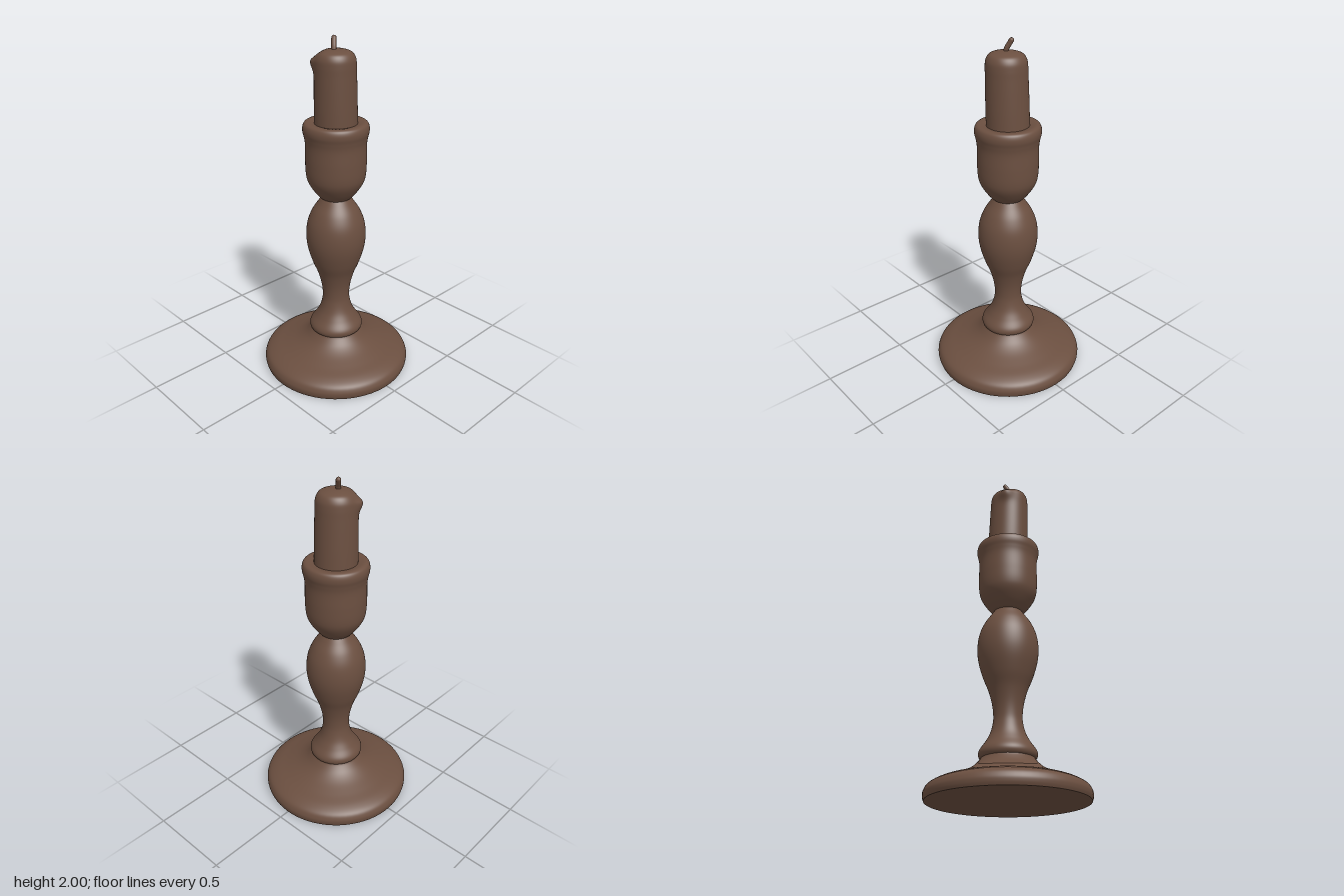
import * as THREE from 'three';

const v2 = (p) => new THREE.Vector2(p[0], p[1]);

// Smooth turned section through [radius, height] points, listed bottom to top
function turned(name, points, steps, material) {
  const profile = new THREE.SplineCurve(points.map(v2)).getPoints(steps);
  const mesh = new THREE.Mesh(new THREE.LatheGeometry(profile, 72), material);
  mesh.name = name;
  return mesh;
}

export function createModel() {
  const group = new THREE.Group();
  group.name = 'candlestick';
  const brown = new THREE.MeshStandardMaterial({ color: 0x6b4f40 });
  brown.name = 'brown';

  // Flat underside
  const underside = new THREE.Mesh(new THREE.CircleGeometry(0.437, 72), brown);
  underside.rotation.x = Math.PI / 2;
  underside.name = 'underside';
  group.add(underside);

  // Spreading foot
  group.add(turned('foot', [
    [0.437, 0], [0.443, 0.02], [0.442, 0.045], [0.425, 0.075], [0.38, 0.1], [0.31, 0.123],
    [0.24, 0.15], [0.19, 0.18], [0.155, 0.215], [0.143, 0.235],
  ], 50, brown));

  // Collar and vase-shaped stem
  group.add(turned('stem', [
    [0.135, 0.228], [0.152, 0.23], [0.16, 0.25], [0.153, 0.275], [0.125, 0.315], [0.1, 0.36],
    [0.085, 0.41], [0.08, 0.46], [0.087, 0.53], [0.108, 0.61], [0.14, 0.69], [0.166, 0.78],
    [0.174, 0.86], [0.165, 0.94], [0.138, 1.01], [0.102, 1.065], [0.082, 1.095],
  ], 90, brown));

  // Cup with rolled lip
  group.add(turned('cup', [
    [0.08, 1.09], [0.095, 1.1], [0.128, 1.14], [0.158, 1.19], [0.17, 1.24], [0.173, 1.32],
    [0.172, 1.41], [0.178, 1.455], [0.185, 1.485], [0.185, 1.51], [0.177, 1.53],
    [0.16, 1.538], [0.135, 1.535], [0.1, 1.525],
  ], 80, brown));

  // Candle, leaning slightly and swollen by melted wax at its front left shoulder
  const candle = turned('candle', [
    [0.12, 1.52], [0.119, 1.62], [0.117, 1.72], [0.115, 1.8], [0.114, 1.85], [0.11, 1.885],
    [0.095, 1.912], [0.07, 1.925], [0.035, 1.932], [0, 1.932],
  ], 60, brown);
  const pos = candle.geometry.attributes.position;
  const dripAngle = Math.atan2(0.08, -0.115);
  for (let i = 0; i < pos.count; i++) {
    const x = pos.getX(i), y = pos.getY(i), z = pos.getZ(i);
    const r = Math.hypot(x, z);
    let d = Math.atan2(z, x) - dripAngle;
    d = Math.atan2(Math.sin(d), Math.cos(d));
    const lean = Math.max(0, (y - 1.52) / 0.4);
    const edge = Math.min(1, r / 0.11) ** 3;
    const drip = Math.exp(-((d / 0.32) ** 2)) * Math.exp(-(((y - 1.865) / 0.045) ** 2)) * edge;
    const sag = Math.exp(-((d / 0.7) ** 2)) * edge * Math.max(0, lean - 0.85);
    const k = 1 + 0.2 * drip;
    pos.setXYZ(i, x * k + 0.004 * lean, y - 0.13 * sag, z * k + 0.01 * lean);
  }
  candle.geometry.computeVertexNormals();
  group.add(candle);

  // Bent wick with a rounded tip
  const tip = new THREE.Vector3(-0.02, 1.986, -0.004);
  const path = new THREE.CatmullRomCurve3([
    new THREE.Vector3(0.002, 1.915, 0.02),
    new THREE.Vector3(-0.003, 1.945, 0.013),
    new THREE.Vector3(-0.013, 1.968, 0.004),
    tip,
  ]);
  const wick = new THREE.Mesh(new THREE.TubeGeometry(path, 12, 0.014, 12), brown);
  wick.name = 'wick';
  const wickTip = new THREE.Mesh(new THREE.SphereGeometry(0.014, 12, 8), brown);
  wickTip.position.copy(tip);
  wickTip.name = 'wickTip';
  group.add(wick, wickTip);

  return group;
}
